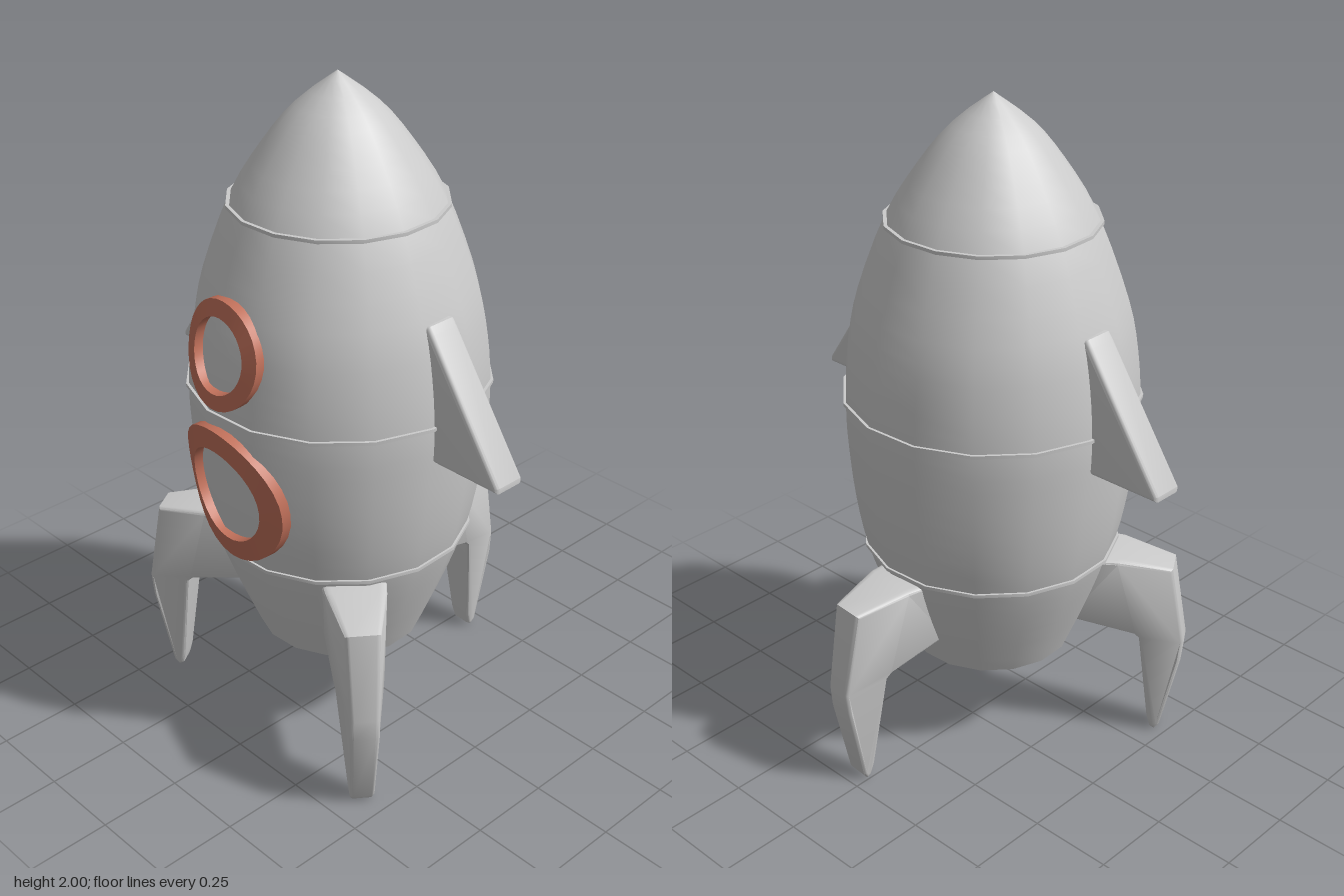
import * as THREE from 'three';
import { toCreasedNormals } from 'three/addons/utils/BufferGeometryUtils.js';

const SIDES = 16;
const PHI = THREE.MathUtils.degToRad(14);
const CENTRE_X = -0.08;
const grey = new THREE.MeshStandardMaterial({ color: 0xcccccc });
const copper = new THREE.MeshStandardMaterial({ color: 0xc0705a });

const v2 = ([x, y]) => new THREE.Vector2(x, y);

// Hull side profile as [radius, height], bottom to tip
const hullCurve = new THREE.SplineCurve([
  [0.25, 0.3], [0.322, 0.48], [0.378, 0.65], [0.41, 0.82], [0.427, 1.0], [0.43, 1.125],
  [0.417, 1.27], [0.385, 1.42], [0.3, 1.645], [0.205, 1.8], [0.115, 1.91], [0, 2],
].map(v2)).getPoints(33);

function hullRadius(y) {
  for (let i = 1; i < hullCurve.length; i++) {
    const a = hullCurve[i - 1], b = hullCurve[i];
    if (y <= b.y) return THREE.MathUtils.mapLinear(y, a.y, b.y, a.x, b.x);
  }
  return 0;
}

function lathe(points) {
  return toCreasedNormals(new THREE.LatheGeometry(points, SIDES, PHI), 0.7);
}

function add(parent, name, geometry, material = grey) {
  const mesh = new THREE.Mesh(geometry, material);
  mesh.name = name;
  parent.add(mesh);
  return mesh;
}

// Flat outline in the (radius, height) plane, bevelled, with thickness set by a rule
function slab(outline, bevel, halfWidth) {
  const geometry = new THREE.ExtrudeGeometry(new THREE.Shape(outline.map(v2)), {
    depth: 1.5, bevelThickness: 0.25, bevelSize: bevel, bevelOffset: -bevel, bevelSegments: 3,
  });
  geometry.translate(0, 0, -0.75);
  const p = geometry.attributes.position;
  for (let i = 0; i < p.count; i++) p.setZ(i, p.getZ(i) * halfWidth(p.getX(i), p.getY(i)));
  return toCreasedNormals(geometry, 0.6);
}

// Round window frame draped over the hull on the -x side
function windowFrame(cy, cz, outer, inner) {
  const section = [[outer, -0.03], [outer, 0.022], [inner, 0.022], [inner, -0.03], [outer, -0.03]];
  const geometry = new THREE.LatheGeometry(section.map(v2), 32);
  const p = geometry.attributes.position;
  for (let i = 0; i < p.count; i++) {
    const y = cy + p.getZ(i), z = cz - p.getX(i);
    const r = hullRadius(y);
    p.setXYZ(i, -Math.sqrt(r * r - z * z) - p.getY(i), y, z);
  }
  return toCreasedNormals(geometry, 0.7);
}

export function createModel() {
  const model = new THREE.Group();
  model.name = 'rocket';
  const body = new THREE.Group();
  body.name = 'body';
  body.position.x = CENTRE_X;
  model.add(body);

  // Hull with the short nozzle below it
  add(body, 'hull', lathe([...[[0, 0.225], [0.13, 0.225], [0.168, 0.3]].map(v2), ...hullCurve]));

  // Thin seam bands
  for (const y of [0.65, 1.125, 1.645]) {
    const r = hullRadius(y), h = 0.005;
    add(body, 'seamBand', lathe(
      [[r - 0.02, y - h], [r + 0.008, y - h], [r + 0.008, y + h], [r - 0.02, y + h]].map(v2)));
  }

  // Windows
  add(body, 'lowerWindowFrame', windowFrame(0.88, -0.02, 0.21, 0.145), copper);
  add(body, 'upperWindowFrame', windowFrame(1.307, -0.025, 0.15, 0.105), copper);

  // Side fins on +z and -z
  const fin = slab([[0.3, 1.41], [0.39, 1.41], [0.405, 1.39], [0.65, 1.03], [0.65, 1.014], [0.3, 1.014]],
    0.014, () => 0.052);
  for (const side of [1, -1]) add(body, 'fin', fin).rotation.y = -side * Math.PI / 2;

  // Three landing legs, thick at the hull and slim at the foot
  const leg = slab([
    [0.22, 0.63], [0.4, 0.63], [0.56, 0.6], [0.605, 0.34], [0.598, 0.27], [0.545, 0.02],
    [0.53, 0], [0.515, 0.01], [0.505, 0.05], [0.47, 0.355], [0.455, 0.37], [0.25, 0.41],
  ], 0.01, (r, y) => {
    const base = THREE.MathUtils.mapLinear(r, 0.3, 0.56, 0.11, 0.05);
    const foot = THREE.MathUtils.mapLinear(y, 0, 0.36, 0.034, 0.075);
    return Math.max(0.03, Math.min(base, foot));
  });
  for (const degrees of [4, 127, -122]) {
    add(body, 'leg', leg).rotation.y = -THREE.MathUtils.degToRad(degrees);
  }
  return model;
}
